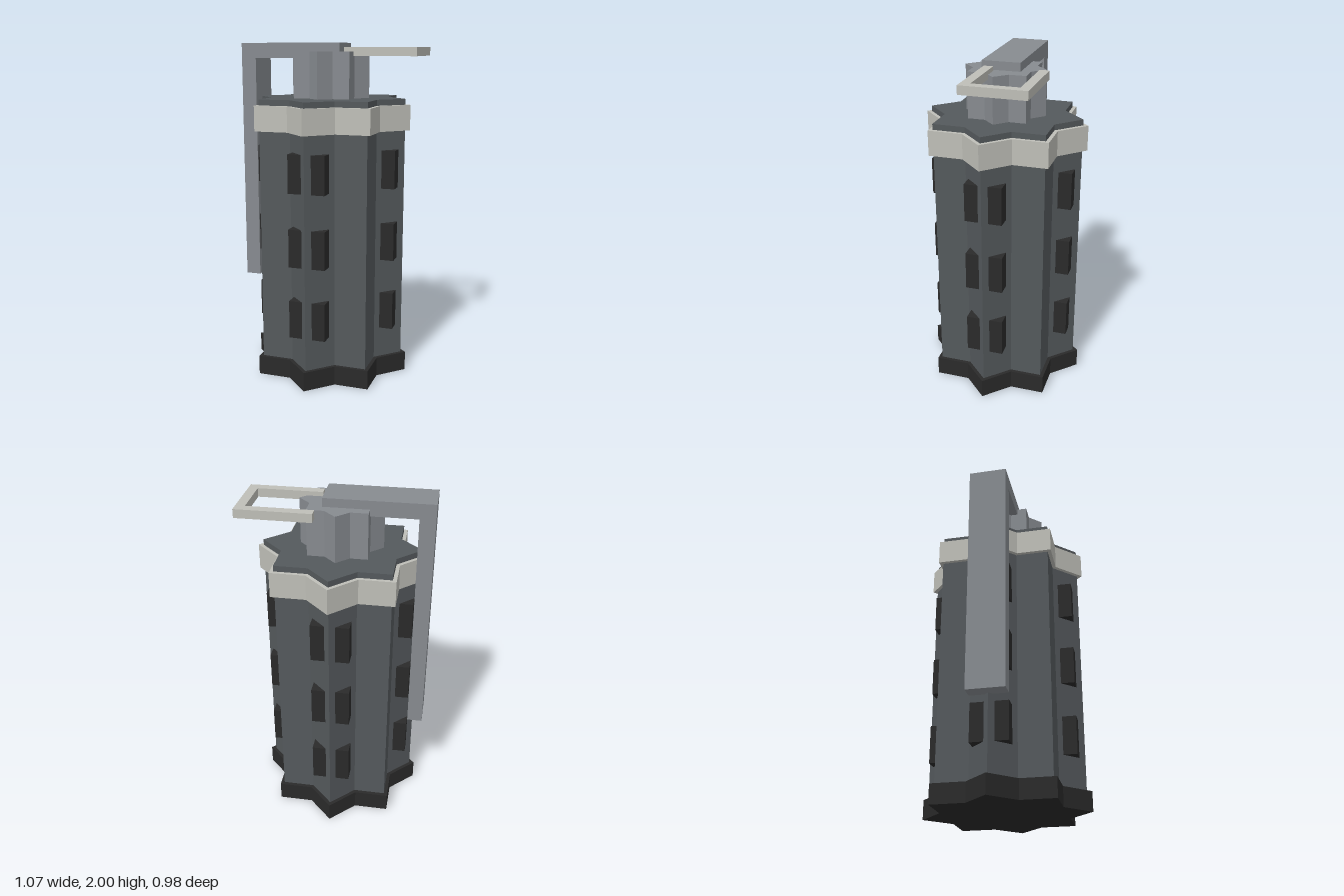
import * as THREE from 'three';

const CX = -0.01; // tower axis

const mat = (name, color) => {
  const m = new THREE.MeshStandardMaterial({ color });
  m.name = name;
  return m;
};

// Eight-pointed star prism (two squares overlapped at 45 degrees)
function starPrism(name, r, y0, y1, material) {
  const inner = r / (2 * Math.cos(Math.PI / 8)) * Math.SQRT2;
  const shape = new THREE.Shape();
  for (let i = 0; i < 16; i++) {
    const a = i * Math.PI / 8;
    const d = i % 2 ? inner : r;
    shape[i ? 'lineTo' : 'moveTo'](d * Math.cos(a), d * Math.sin(a));
  }
  shape.closePath();
  const g = new THREE.ExtrudeGeometry(shape, { depth: y1 - y0, bevelEnabled: false });
  g.rotateX(-Math.PI / 2).translate(CX, y0, 0);
  const mesh = new THREE.Mesh(g, material);
  mesh.name = name;
  return mesh;
}

// Box given by its limits on each axis
function box(name, [x0, x1], [y0, y1], [z0, z1], material) {
  const mesh = new THREE.Mesh(new THREE.BoxGeometry(x1 - x0, y1 - y0, z1 - z0), material);
  mesh.position.set((x0 + x1) / 2, (y0 + y1) / 2, (z0 + z1) / 2);
  mesh.name = name;
  return mesh;
}

export function createModel() {
  const slate = mat('slate grey', 0x54595c);
  const steel = mat('steel grey', 0x878b90);
  const pale = mat('pale stone', 0xbfbfb8);
  const black = mat('charcoal', 0x2a2a2a);

  const model = new THREE.Group();
  model.name = 'tower';

  // Stacked star-shaped tiers
  model.add(
    starPrism('base', 0.49, 0, 0.115, black),
    starPrism('towerBody', 0.46, 0.115, 1.682, slate),
    starPrism('collar', 0.49, 1.5, 1.648, pale),
    starPrism('topCore', 0.24, 1.682, 1.95, steel)
  );

  // Window blocks straddling the slanted faces, three storeys
  const windows = new THREE.Group();
  windows.name = 'windows';
  for (const y of [0.413, 0.843, 1.277])
    for (const sx of [-1, 1])
      for (const sz of [-1, 1])
        for (const [x, z] of [[0.07, 0.39], [0.39, 0.07]]) {
          const w = new THREE.Mesh(new THREE.BoxGeometry(0.08, 0.225, 0.08), black);
          w.position.set(CX + sx * x, y, sz * z);
          w.name = 'window';
          windows.add(w);
        }
  model.add(windows);

  // Bent arm: upright on the right side, beam over the top (one solid outline)
  const outline = [[-0.535, 0.565], [-0.445, 0.565], [-0.445, 1.912], [0.082, 1.912], [0.082, 2], [-0.535, 2]];
  const armShape = new THREE.Shape(outline.map(([x, y]) => new THREE.Vector2(x, y)));
  const armGeo = new THREE.ExtrudeGeometry(armShape, { depth: 0.225, bevelEnabled: false });
  const arm = new THREE.Mesh(armGeo.translate(0, 0, -0.114), steel);
  arm.name = 'sideArm';
  model.add(arm);

  // Open U-shaped handle, lying flat
  const uPoints = [[0.102, 0.283], [0.53, 0.283], [0.53, -0.092], [0.102, -0.092],
    [0.102, -0.037], [0.476, -0.037], [0.476, 0.228], [0.102, 0.228]];
  const uShape = new THREE.Shape(uPoints.map(([x, z]) => new THREE.Vector2(x, z)));
  const uGeo = new THREE.ExtrudeGeometry(uShape, { depth: 0.05, bevelEnabled: false });
  const handle = new THREE.Mesh(uGeo.rotateX(-Math.PI / 2).translate(0, 1.925, 0), pale);
  handle.name = 'handleLoop';
  model.add(handle);

  return model;
}
